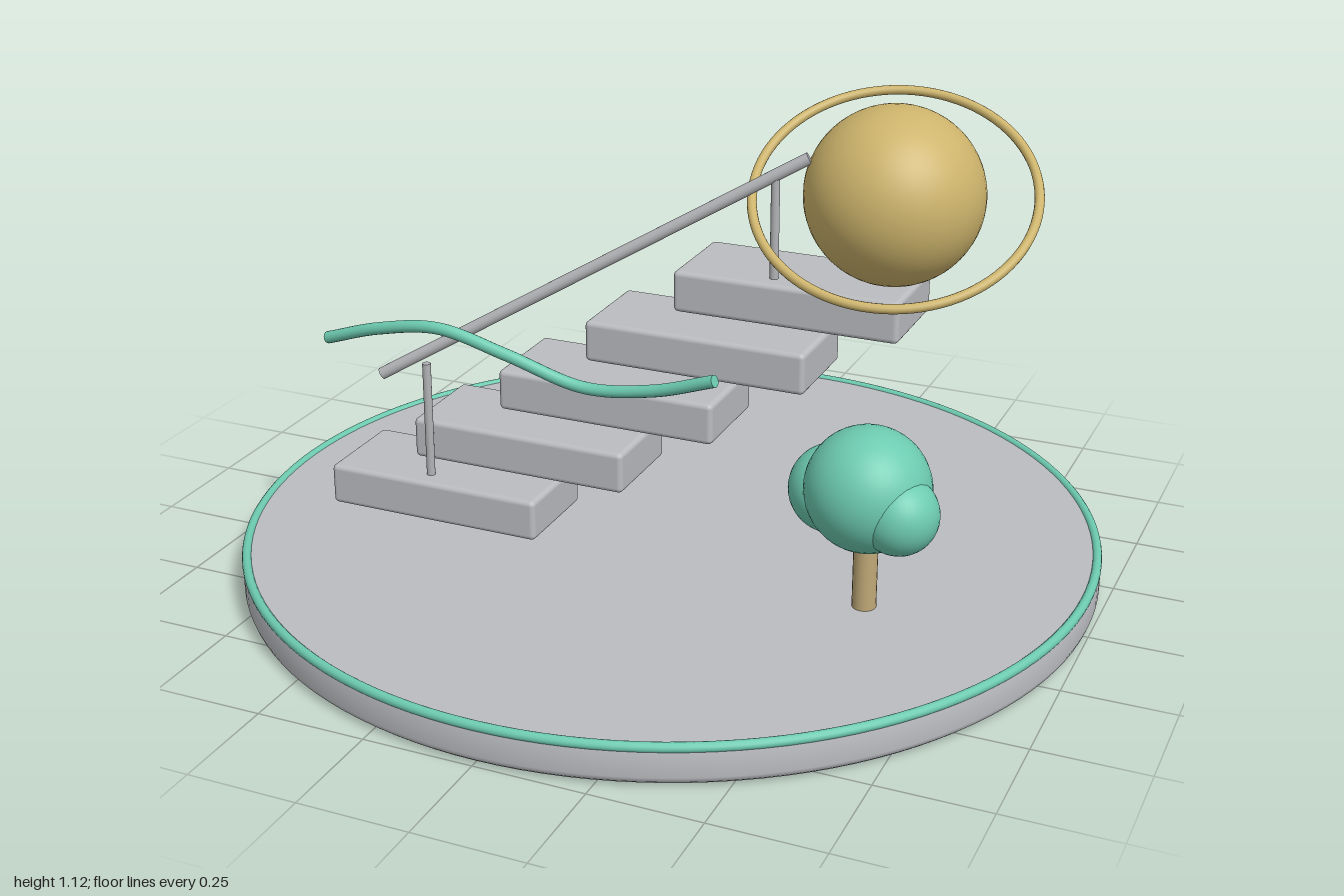
import * as THREE from 'three';
import { RoundedBoxGeometry } from 'three/addons/geometries/RoundedBoxGeometry.js';

const mat = (name, color) => {
  const m = new THREE.MeshStandardMaterial({ color });
  m.name = name;
  return m;
};
const V = (x, y, z) => new THREE.Vector3(x, y, z);

export function createModel() {
  const stone = mat('stone grey', 0xbabcc0);
  const metal = mat('rail grey', 0xb2b3b6);
  const teal = mat('teal', 0x6dcbb0);
  const gold = mat('gold', 0xcdb46c);
  const wood = mat('trunk tan', 0xc0a978);

  const model = new THREE.Group();
  model.name = 'stairwayScene';

  const add = (parent, name, geometry, material, pos = V(0, 0, 0)) => {
    const mesh = new THREE.Mesh(geometry, material);
    mesh.name = name;
    mesh.position.copy(pos);
    parent.add(mesh);
    return mesh;
  };
  const group = (name) => {
    const g = new THREE.Group();
    g.name = name;
    model.add(g);
    return g;
  };
  // Round bar between two points
  const bar = (parent, name, a, b, r, material) => {
    const dir = b.clone().sub(a);
    const mesh = add(parent, name, new THREE.CylinderGeometry(r, r, dir.length(), 20),
      material, a.clone().add(b).multiplyScalar(0.5));
    mesh.quaternion.setFromUnitVectors(V(0, 1, 0), dir.normalize());
    return mesh;
  };

  // Round base: flat faces and wall kept sharp, lower edge rounded
  const base = group('base');
  const wall = [[0.972, 0], [0.985, 0.004], [0.993, 0.011], [0.997, 0.022], [0.997, 0.078], [0.985, 0.09]];
  add(base, 'baseWall', new THREE.LatheGeometry(
    wall.map(([x, y]) => new THREE.Vector2(x, y)), 128), stone);
  const top = add(base, 'baseTop', new THREE.CircleGeometry(0.985, 128), stone, V(0, 0.09, 0));
  top.rotation.x = -Math.PI / 2;
  const bottom = add(base, 'baseBottom', new THREE.CircleGeometry(0.972, 128), stone);
  bottom.rotation.x = Math.PI / 2;
  const rim = add(base, 'baseRim', new THREE.TorusGeometry(0.988, 0.011, 12, 128), teal, V(0, 0.086, 0));
  rim.rotation.x = Math.PI / 2;

  // Floating steps, rising to the left and backwards
  const stairs = group('stairs');
  const stepGeo = new RoundedBoxGeometry(0.535, 0.098, 0.24, 3, 0.012);
  for (let i = 0; i < 5; i++) {
    add(stairs, `step${i + 1}`, stepGeo, stone,
      V(-0.502 + 0.1925 * i, 0.155 + 0.128 * i, 0.136 - 0.064 * i));
  }

  // Handrail with two posts
  const railing = group('railing');
  bar(railing, 'handrail', V(-0.627, 0.455, 0.24), V(0.297, 0.997, -0.071), 0.014, metal);
  bar(railing, 'lowerPost', V(-0.527, 0.2, 0.207), V(-0.527, 0.484, 0.207), 0.01, metal);
  bar(railing, 'upperPost', V(0.228, 0.71, -0.047), V(0.228, 0.957, -0.047), 0.01, metal);

  // Ringed globe on the top step
  const globe = group('globe');
  globe.position.set(0.472, 0.913, -0.143);
  add(globe, 'sphere', new THREE.SphereGeometry(0.202, 48, 32), gold);
  const ring = add(globe, 'ring', new THREE.TorusGeometry(0.315, 0.011, 12, 96), gold);
  ring.quaternion.setFromUnitVectors(V(0, 0, 1), V(0.126, 0.844, 0.522).normalize());

  // Wavy streamer in front of the stairs
  const streamer = group('streamer');
  const path = new THREE.CatmullRomCurve3([
    V(-0.725, 0.553, 0.306), V(-0.578, 0.603, 0.322), V(-0.418, 0.63, 0.332),
    V(-0.258, 0.587, 0.318), V(-0.087, 0.529, 0.292), V(0.08, 0.55, 0.298), V(0.235, 0.605, 0.316),
  ]);
  add(streamer, 'streamerTube', new THREE.TubeGeometry(path, 80, 0.014, 14), teal);
  [0, 1].forEach((t) => {
    const cap = add(streamer, t ? 'endCap' : 'startCap', new THREE.CircleGeometry(0.014, 14), teal, path.getPointAt(t));
    cap.quaternion.setFromUnitVectors(V(0, 0, 1), path.getTangentAt(t).multiplyScalar(t ? 1 : -1));
  });

  // Tree
  const tree = group('tree');
  bar(tree, 'trunk', V(0.55, 0.088, 0.217), V(0.55, 0.3, 0.217), 0.027, wood);
  [
    ['crown', 0.55, 0.371, 0.217, 0.139],
    ['leftLeaves', 0.632, 0.342, 0.255, 0.088],
    ['rightLeaves', 0.457, 0.337, 0.173, 0.099],
  ].forEach(([name, x, y, z, r]) =>
    add(tree, name, new THREE.SphereGeometry(r, 36, 24), teal, V(x, y, z)));

  return model;
}
